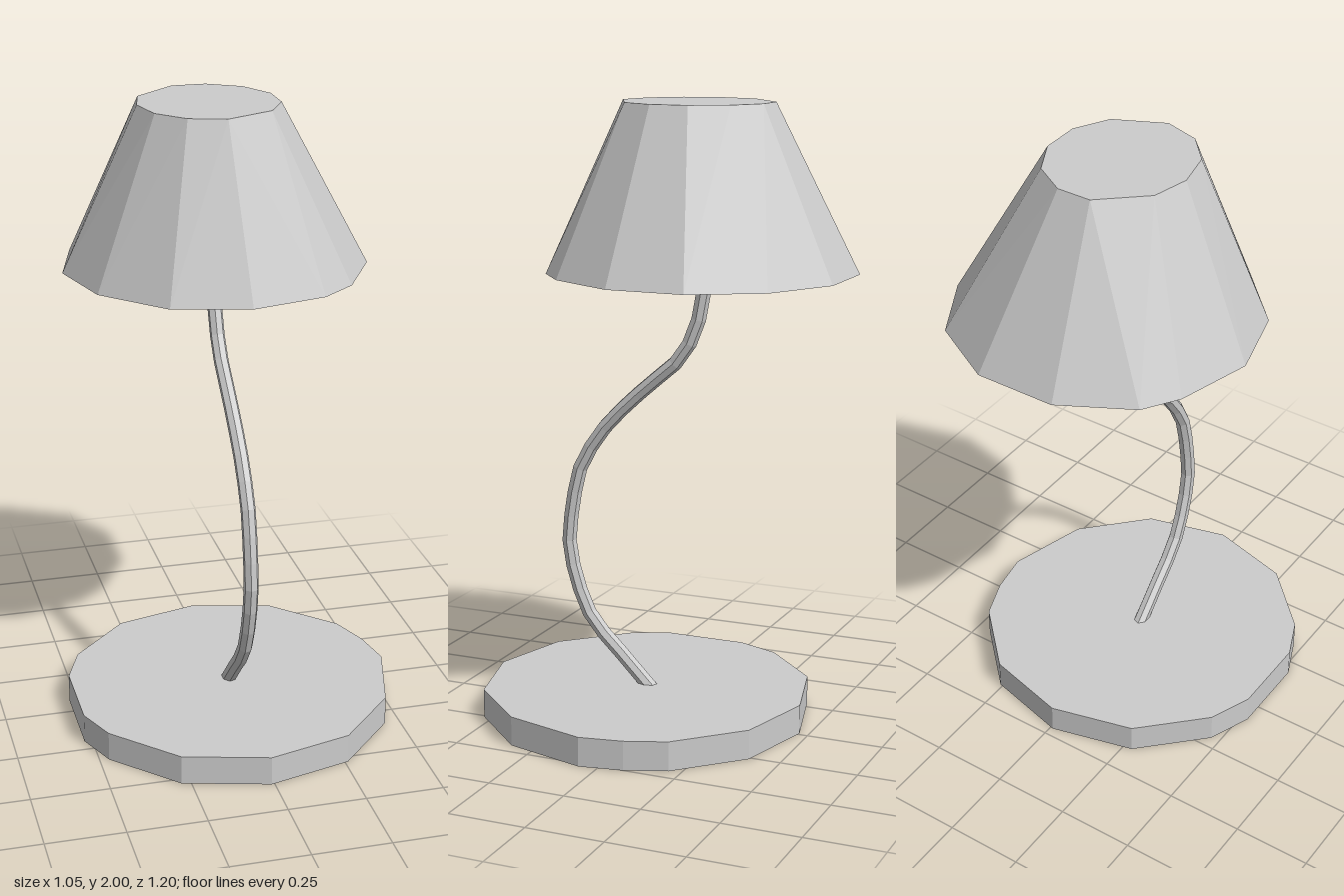
import * as THREE from 'three';
import { ConvexGeometry } from 'three/addons/geometries/ConvexGeometry.js';

const material = new THREE.MeshStandardMaterial({ color: 0xcccccc, flatShading: true });

function addPart(group, name, geometry) {
  const mesh = new THREE.Mesh(geometry, material);
  mesh.name = name;
  group.add(mesh);
}

// Closed faceted solid between two convex outlines of [x, z] corners
function facetedSolid(lower, y0, upper, y1) {
  const ring = (outline, y) => outline.map(([x, z]) => new THREE.Vector3(x, y, z));
  return new ConvexGeometry([...ring(lower, y0), ...ring(upper, y1)]);
}

export function createModel() {
  const lamp = new THREE.Group();
  lamp.name = 'deskLamp';

  // Base: thin, hand-cut disc
  const baseOutline = [
    [-0.01, 0.6], [0.26, 0.53], [0.45, 0.33], [0.525, 0.06], [0.5, -0.08], [0.45, -0.21],
    [0.26, -0.4], [-0.01, -0.47], [-0.28, -0.4], [-0.47, -0.21],
    [-0.525, -0.07], [-0.525, 0.2], [-0.47, 0.33], [-0.28, 0.525],
  ];
  addPart(lamp, 'base', facetedSolid(baseOutline, 0, baseOutline, 0.095));

  // Stem: thin S-curve from the base centre to the shade, as [z, y]
  const stemPoints = [
    [0.04, 0.07], [0.16, 0.19], [0.265, 0.3], [0.32, 0.43], [0.345, 0.56], [0.33, 0.68],
    [0.305, 0.8], [0.22, 0.94], [0.08, 1.08], [-0.055, 1.2], [-0.11, 1.31], [-0.13, 1.41], [-0.12, 1.49],
  ].map(([z, y]) => new THREE.Vector3(-0.01, y, z));
  const stemPath = new THREE.CatmullRomCurve3(stemPoints);
  addPart(lamp, 'stem', new THREE.TubeGeometry(stemPath, 20, 0.024, 7));

  // Shade: irregular faceted cone, closed at both ends
  const rim = [
    [-0.14, -0.6], [0.12, -0.6], [0.34, -0.475], [0.46, -0.26], [0.46, -0.01], [0.34, 0.21], [0.23, 0.3],
    [-0.01, 0.36], [-0.25, 0.3], [-0.43, 0.11], [-0.495, -0.13], [-0.43, -0.37], [-0.36, -0.48],
  ];
  const crown = [
    [-0.095, -0.335], [0.015, -0.335], [0.12, -0.27], [0.18, -0.155], [0.18, -0.03], [0.12, 0.08],
    [-0.035, 0.155], [-0.15, 0.12], [-0.23, 0.03], [-0.258, -0.095], [-0.23, -0.215],
  ];
  addPart(lamp, 'shade', facetedSolid(rim, 1.475, crown, 2));

  return lamp;
}
